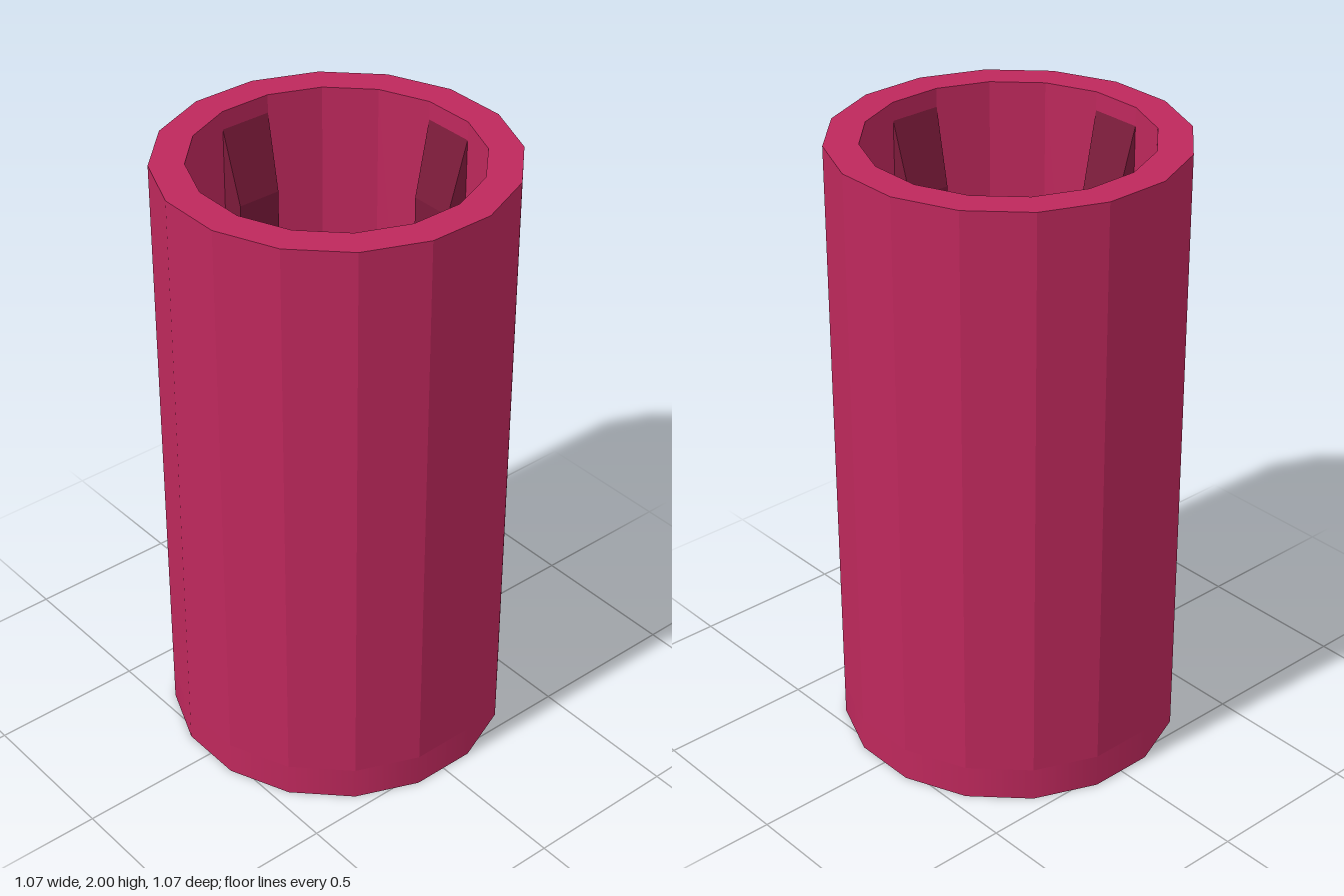
import * as THREE from 'three';

const SIDES = 16;
const HALF = Math.PI / SIDES;           // half a facet, so flats face the axes
const OUTER = 0.533 / Math.cos(HALF);   // corner radii
const INNER = 0.43 / Math.cos(HALF);
const FLOOR = 0.11;

// Facet a geometry with one hard normal per triangle
function faceted(geometry) {
  const flat = geometry.index ? geometry.toNonIndexed() : geometry;
  flat.computeVertexNormals();
  return flat;
}

function makeMaterial(name, color) {
  const material = new THREE.MeshStandardMaterial({ color });
  material.name = name;
  return material;
}

export function createModel() {
  const group = new THREE.Group();
  const crimson = makeMaterial('crimson', 0xbe285c);
  const darkCrimson = makeMaterial('darkCrimson', 0x7c1a3a);

  const add = (name, geometry, material) => {
    const mesh = new THREE.Mesh(geometry, material);
    mesh.name = name;
    group.add(mesh);
    return mesh;
  };

  // Outer wall, rim, inner wall and floor of the cup
  const profile = [[OUTER, FLOOR], [OUTER, 2], [INNER, 2], [INNER, FLOOR], [0, FLOOR]]
    .map(([x, y]) => new THREE.Vector2(x, y));
  add('cupWall', faceted(new THREE.LatheGeometry(profile, SIDES, HALF)), crimson);

  // Smoothly shaded band around the foot
  const band = new THREE.CylinderGeometry(OUTER, OUTER, FLOOR, SIDES, 1, true, HALF);
  add('footBand', band.translate(0, FLOOR / 2, 0), crimson);

  // Underside
  const base = new THREE.CircleGeometry(OUTER, SIDES, HALF);
  add('base', base.rotateX(Math.PI / 2), crimson);

  // Four ramped lugs set through the wall, narrowing towards the axis
  const lugShape = new THREE.Shape([[0.53, 1.94], [0.43, 1.94], [0.37, 1.7], [0.37, 1.36], [0.53, 1.36]]
    .map(([x, y]) => new THREE.Vector2(x, y)));
  const lug = new THREE.ExtrudeGeometry(lugShape, { depth: 2, bevelEnabled: false });
  const p = lug.attributes.position;
  for (let i = 0; i < p.count; i++) p.setZ(i, (p.getZ(i) - 1) * p.getX(i) * Math.tan(HALF));
  const lugGeometry = faceted(lug);
  for (let i = 0; i < 4; i++) {
    add('innerLug' + (i + 1), lugGeometry, darkCrimson).rotation.y = i * Math.PI / 2;
  }
  return group;
}
